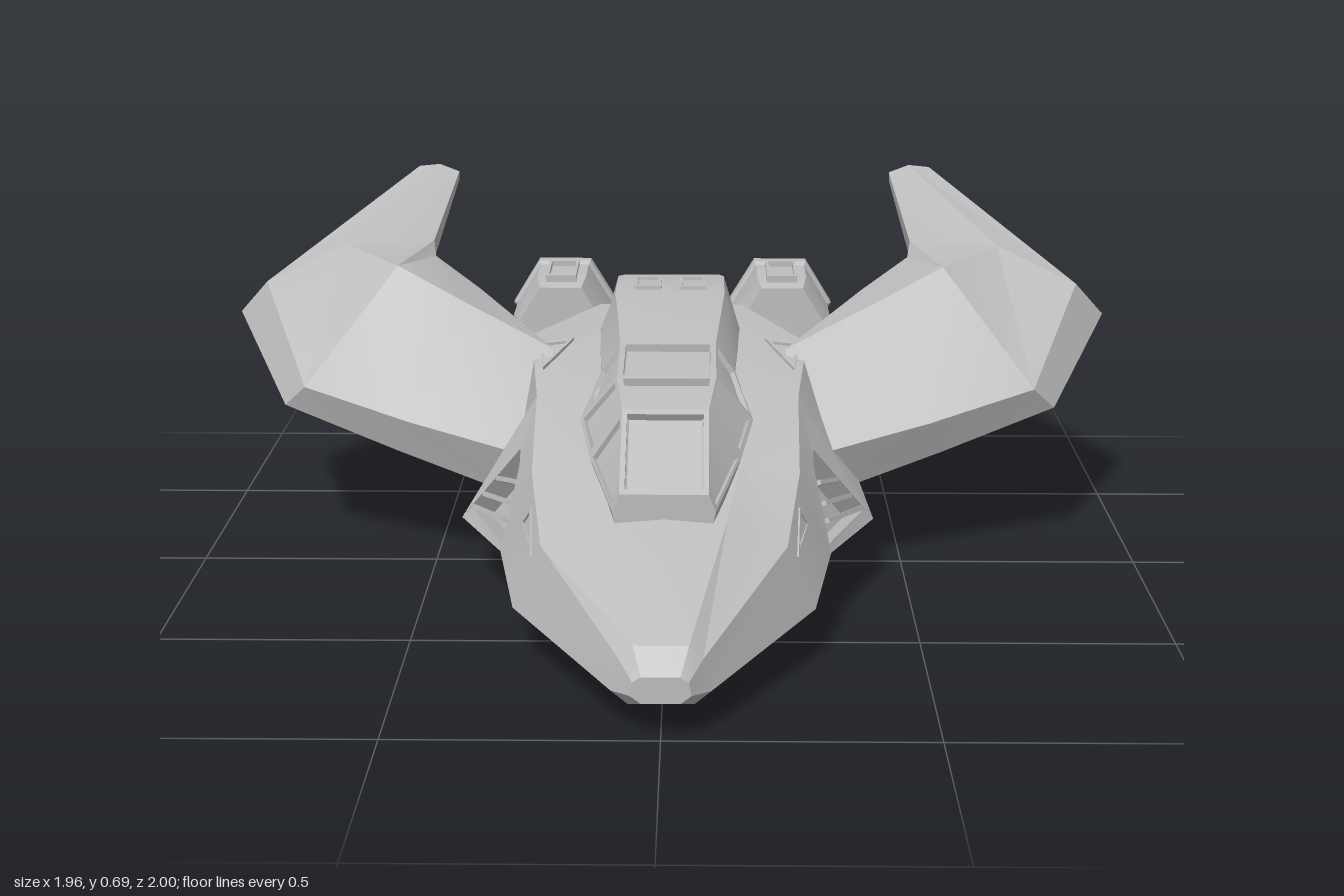
import * as THREE from 'three';
import { toCreasedNormals } from 'three/addons/utils/BufferGeometryUtils.js';

const V = (p) => new THREE.Vector3(...p);
const lerp = (a, b, t) => a.map((v, i) => v + (b[i] - v) * t);
const centre = (ring) => ring.reduce((s, p) => s.map((v, i) => v + p[i] / ring.length), [0, 0, 0]);

// Flat triangles between rings of points; ends are capped, or the last ring joins the first.
// Panels named 'ring:edge' in skip are left open.
function loft(rings, { closed = false, skip = [] } = {}) {
  const pos = [], n = rings[0].length;
  const tri = (...pts) => pts.forEach((p) => pos.push(...p));
  const spans = closed ? rings.length : rings.length - 1;
  for (let i = 0; i < spans; i++) {
    const a = rings[i], b = rings[(i + 1) % rings.length];
    for (let j = 0; j < n; j++) {
      if (skip.includes(`${i}:${j}`)) continue;
      const k = (j + 1) % n;
      tri(a[j], a[k], b[k]);
      tri(a[j], b[k], b[j]);
    }
  }
  if (!closed) {
    const a = rings[0], b = rings[rings.length - 1], ca = centre(a), cb = centre(b);
    for (let j = 0; j < n; j++) {
      const k = (j + 1) % n;
      tri(ca, a[k], a[j]);
      tri(cb, b[j], b[k]);
    }
  }
  const geo = new THREE.BufferGeometry();
  geo.setAttribute('position', new THREE.Float32BufferAttribute(pos, 3));
  return geo;
}

// Turns a surface outward and gives it creased normals.
function finish(geo, crease) {
  const g = geo.index ? geo.toNonIndexed() : geo.clone();
  const p = g.attributes.position, at = (i) => new THREE.Vector3().fromBufferAttribute(p, i);
  let volume = 0;
  for (let i = 0; i < p.count; i += 3) volume += at(i).dot(at(i + 1).cross(at(i + 2)));
  if (volume < 0) {
    for (let i = 0; i < p.count; i += 3) {
      const b = at(i + 1), c = at(i + 2);
      p.setXYZ(i + 1, c.x, c.y, c.z);
      p.setXYZ(i + 2, b.x, b.y, b.z);
    }
  }
  g.deleteAttribute('uv');
  g.deleteAttribute('normal');
  return toCreasedNormals(g, crease);
}

// Shifts a polygon along its outward normal.
function shift(corners, d) {
  const c = centre(corners), a = V(corners[0]);
  const n = V(corners[1]).sub(a).cross(V(corners[2]).sub(a)).normalize();
  if (n.dot(V([c[0], c[1] - 0.2, 0])) < 0) n.negate();
  return corners.map((p) => V(p).addScaledVector(n, d).toArray());
}
const shrink = (corners, t) => corners.map((p) => lerp(p, centre(corners), t));

// Raised border round a flat polygon; inset is the share taken towards the middle.
function frame(corners, inset, h = 0.006) {
  const inner = shrink(corners, inset);
  return loft([shift(corners, -0.01), shift(corners, h), shift(inner, h), shift(inner, -0.01)], { closed: true });
}

// Panel with a sunken window.
function recess(corners, window, depth) {
  return loft([shift(shrink(corners, 0.08), -depth - 0.01), corners, window, shift(window, -depth)]);
}

// Half sections of the hull: z, then keel, bottom edge, chine, shoulder, deck and centre as [x, y].
const hullHalf = [
  [1.0, [0, 0.08], [0.035, 0.08], [0.055, 0.095], [0.05, 0.12], [0.035, 0.13], [0, 0.13]],
  [0.95, [0, 0.06], [0.06, 0.06], [0.09, 0.085], [0.075, 0.145], [0.05, 0.17], [0, 0.17]],
  [0.6, [0, 0.04], [0.17, 0.045], [0.29, 0.115], [0.235, 0.24], [0.12, 0.29], [0, 0.3]],
  [0.38, [0, 0.033], [0.19, 0.035], [0.33, 0.155], [0.265, 0.32], [0.15, 0.34], [0, 0.34]],
  [0.13, [0, 0.01], [0.2, 0.01], [0.43, 0.147], [0.27, 0.41], [0.16, 0.42], [0, 0.42]],
  [-0.2, [0, 0.028], [0.24, 0.03], [0.41, 0.115], [0.3, 0.445], [0.17, 0.46], [0, 0.46]],
  [-0.47, [0, 0.035], [0.24, 0.035], [0.37, 0.125], [0.36, 0.38], [0.16, 0.47], [0, 0.47]],
];
// Half sections of the canopy and spine: base, waist and roof edge; the last two sink the tail.
const spineHalf = [
  [0.61, [0, 0.27], [0.09, 0.27], [0.098, 0.31], [0.085, 0.345], [0, 0.345]],
  [0.4, [0, 0.28], [0.13, 0.3], [0.15, 0.36], [0.085, 0.455], [0, 0.455]],
  [0.24, [0, 0.3], [0.15, 0.33], [0.175, 0.39], [0.1, 0.48], [0, 0.48]],
  [0.03, [0, 0.35], [0.14, 0.38], [0.14, 0.44], [0.1, 0.5], [0, 0.5]],
  [-0.25, [0, 0.3], [0.16, 0.4], [0.155, 0.46], [0.12, 0.545], [0, 0.545]],
  [-0.45, [0, 0.26], [0.13, 0.26], [0.145, 0.45], [0.12, 0.54], [0, 0.54]],
  [-0.68, [0, 0.26], [0.125, 0.26], [0.13, 0.42], [0.11, 0.495], [0, 0.495]],
  [-0.681, [0, 0.275], [0.112, 0.275], [0.114, 0.405], [0.105, 0.42], [0, 0.42]],
  [-0.6, [0, 0.275], [0.112, 0.275], [0.114, 0.405], [0.105, 0.42], [0, 0.42]],
];
const fullRing = ([z, ...half]) => [
  ...half.map(([x, y]) => [x, y, z]),
  ...half.slice(1, -1).reverse().map(([x, y]) => [-x, y, z]),
];
// Point on a panel: section i, edge k, share u backwards and v upwards.
function onPanel(table, i, k, u, v) {
  const pt = (a, b) => [...table[a][b + 1], table[a][0]];
  return lerp(lerp(pt(i, k), pt(i + 1, k), u), lerp(pt(i, k + 1), pt(i + 1, k + 1), u), v);
}
const patch = (table, i, k, uvs) => uvs.map(([u, v]) => onPanel(table, i, k, u, v));
const whole = [[0, 0], [1, 0], [1, 1], [0, 1]];

// Wing rings: low leading, high leading, front ridge, rear ridge, trailing, belly.
const wingRings = [
  [[0.28, 0.17, 0.1], [0.28, 0.28, 0.14], [0.25, 0.45, -0.12], [0.33, 0.44, -0.28], [0.33, 0.33, -0.34], [0.3, 0.21, -0.2]],
  [[0.58, 0.255, 0], [0.55, 0.33, 0.045], [0.44, 0.53, -0.2], [0.43, 0.52, -0.4], [0.43, 0.43, -0.42], [0.55, 0.3, -0.26]],
  [[0.83, 0.33, -0.09], [0.78, 0.38, -0.05], [0.6, 0.6, -0.27], [0.54, 0.575, -0.5], [0.54, 0.5, -0.5], [0.72, 0.37, -0.33]],
  [[0.98, 0.46, -0.43], [0.91, 0.54, -0.38], [0.74, 0.61, -0.46], [0.55, 0.6, -0.56], [0.56, 0.53, -0.56], [0.78, 0.43, -0.47]],
  [[0.65, 0.685, -0.98], [0.63, 0.7, -1], [0.58, 0.705, -1], [0.53, 0.69, -0.98], [0.53, 0.67, -0.97], [0.6, 0.665, -0.97]],
];

// Hollow six-sided engine nozzle pointing backwards.
function nozzle(x, y, z) {
  const profile = [[0, 0], [0.095, 0], [0.113, 0.06], [0.113, 0.19], [0.122, 0.2], [0.122, 0.235], [0.105, 0.265],
    [0.082, 0.265], [0.07, 0.19], [0, 0.19]].map(([r, h]) => new THREE.Vector2(r, h));
  return new THREE.LatheGeometry(profile, 6, Math.PI / 6).rotateX(-Math.PI / 2).scale(1, 0.95, 1).translate(x, y, z);
}

const bar = (w, h, d, x, y, z) => new THREE.BoxGeometry(w, h, d).translate(x, y, z);

// Thin rod lying between two points.
function rod(a, b, r = 0.007) {
  const d = V(b).sub(V(a));
  const q = new THREE.Quaternion().setFromUnitVectors(new THREE.Vector3(0, 1, 0), d.clone().normalize());
  return new THREE.CylinderGeometry(r, r, d.length(), 4).applyQuaternion(q).translate(...centre([a, b]));
}

export function createModel() {
  const model = new THREE.Group();
  const grey = new THREE.MeshStandardMaterial({ color: 0xbdbdbd });
  grey.name = 'hull grey';

  const add = (name, geo, crease = 0.3) => {
    const mesh = new THREE.Mesh(finish(geo, crease), grey);
    mesh.name = name;
    model.add(mesh);
  };
  const pair = (name, geo, crease) => {
    add('left ' + name, geo, crease);
    add('right ' + name, geo.clone().scale(-1, 1, 1), crease);
  };

  // Body, left open where sunken panels go
  const glazed = [0, 1, 2].flatMap((i) => [2, 3, 4, 5].map((j) => `${i}:${j}`));
  add('hull', loft(hullHalf.map(fullRing), { skip: ['3:2', '3:7'] }));
  add('canopy and spine', loft(spineHalf.map(fullRing), { skip: glazed }));
  pair('wing', loft(wingRings), 0.45);

  // Canopy windows
  ['windshield', 'upper windshield', 'roof window'].forEach((name, i) => {
    const [a, b] = patch(spineHalf, i, 3, whole);
    const quad = [a, b, [-b[0], b[1], b[2]], [-a[0], a[1], a[2]]];
    add(name, recess(quad, shrink(quad, 0.12), 0.016));
    const flank = patch(spineHalf, i, 2, whole);
    pair('side window', recess(flank, shrink(flank, 0.16), 0.01));
  });

  // Side intakes with slanting struts
  const opening = [[0.03, 0.1], [0.95, 0.1], [0.64, 0.76], [0.45, 0.72]];
  pair('intake', recess(patch(hullHalf, 3, 2, whole), patch(hullHalf, 3, 2, opening), 0.05));
  for (const [u, v, s, t] of [[0.17, 0.3, 0.9, 0.12], [0.27, 0.44, 0.84, 0.25], [0.37, 0.6, 0.76, 0.42]]) {
    pair('intake strut', rod(...patch(hullHalf, 3, 2, [[u, v], [s, t]])));
  }
  pair('cheek vent', frame(patch(hullHalf, 2, 2, [[0.1, 0.72], [0.72, 0.62], [0.62, 0.9]]), 0.3, 0.004));
  pair('deck vent', frame(patch(hullHalf, 4, 3, [[0.45, 0.15], [0.95, 0.7], [0.95, 0.1]]), 0.3));

  // Paired vents on the spine
  pair('spine vent', frame([[0.02, 0.545, -0.29], [0.08, 0.545, -0.29], [0.08, 0.541, -0.42], [0.02, 0.541, -0.42]], 0.25));

  // Engines
  pair('upper engine', nozzle(0.255, 0.425, -0.49));
  pair('lower engine', nozzle(0.25, 0.14, -0.485));
  pair('engine hatch', frame([[0.22, 0.52, -0.52], [0.29, 0.52, -0.52], [0.29, 0.525, -0.68], [0.22, 0.525, -0.68]], 0.2));
  pair('engine fairing', loft([
    [[0.34, 0.29, -0.28], [0.37, 0.3, -0.28], [0.36, 0.41, -0.28], [0.33, 0.42, -0.28]],
    [[0.34, 0.29, -0.47], [0.43, 0.3, -0.47], [0.42, 0.4, -0.47], [0.34, 0.43, -0.47]],
    [[0.36, 0.3, -0.52], [0.42, 0.31, -0.54], [0.41, 0.38, -0.54], [0.36, 0.41, -0.52]],
  ]));

  // Rear grille set into the tail
  for (const x of [-0.038, 0.038]) add('grille upright', bar(0.014, 0.145, 0.03, x, 0.347, -0.66));
  add('grille crossbar', bar(0.226, 0.014, 0.028, 0, 0.347, -0.66));

  return model;
}
